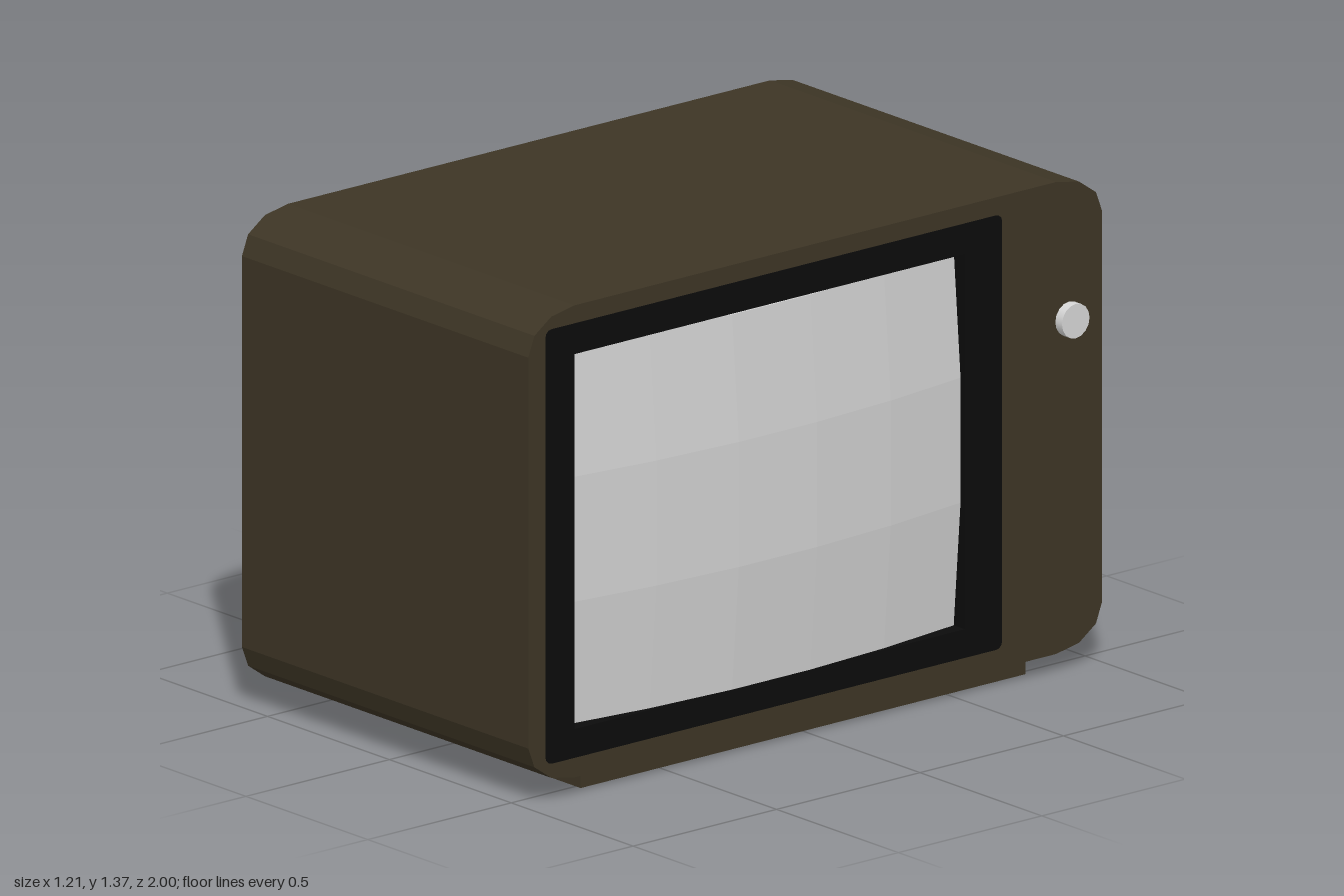
import * as THREE from 'three';

const material = (name, color) => Object.assign(new THREE.MeshStandardMaterial({ color }), { name });

// Rectangle in the z-y plane with faceted elliptical corners (shape x = -z)
function roundedOutline(z0, z1, y0, y1, rz, ry) {
  const pts = [];
  const corners = [[-z0 - rz, y1 - ry], [-z1 + rz, y1 - ry], [-z1 + rz, y0 + ry], [-z0 - rz, y0 + ry]];
  corners.forEach(([cx, cy], q) => {
    for (let i = 0; i <= 3; i++) {
      const a = (q + i / 3) * Math.PI / 2;
      pts.push(new THREE.Vector2(cx + rz * Math.cos(a), cy + ry * Math.sin(a)));
    }
  });
  return pts;
}

function rectOutline(z0, z1, y0, y1) {
  return [[-z0, y0], [-z0, y1], [-z1, y1], [-z1, y0]].map(([x, y]) => new THREE.Vector2(x, y));
}

// Extrude an outline along x from x0 to x1, with an optional opening
function slab(outline, hole, x0, x1) {
  const shape = new THREE.Shape(outline);
  if (hole) shape.holes.push(new THREE.Path(hole));
  const g = new THREE.ExtrudeGeometry(shape, { depth: x1 - x0, bevelEnabled: false });
  return g.rotateY(Math.PI / 2).translate(x0, 0, 0);
}

export function createModel() {
  const group = new THREE.Group();
  const casing = material('darkBrownCasing', 0x3d3525);
  const black = material('blackBezel', 0x0b0b0b);
  const glass = material('greyGlass', 0xd0d0d0);
  const silver = material('silverKnob', 0xd6d6d6);

  const add = (name, geometry, mat) => {
    const mesh = new THREE.Mesh(geometry, mat);
    mesh.name = name;
    group.add(mesh);
    return mesh;
  };

  // Cabinet, with a shallow recess on the screen side
  const cabinet = roundedOutline(-1, 1, 0.055, 1.37, 0.16, 0.113);
  const bezelEdge = roundedOutline(-0.65, 0.94, 0.11, 1.32, 0.02, 0.02);
  add('cabinet', slab(cabinet, null, -0.605, 0.51), casing);
  add('cabinetRim', slab(cabinet, bezelEdge, 0.51, 0.57), casing);

  // Black bezel around the screen opening
  add('bezel', slab(bezelEdge, rectOutline(-0.52, 0.84, 0.19, 1.235), 0.51, 0.572), black);

  // Bulging faceted screen
  let screen = new THREE.BoxGeometry(0.1, 1.045, 1.36, 1, 3, 5);
  const p = screen.attributes.position;
  for (let i = 0; i < p.count; i++) {
    const y = p.getY(i), z = p.getZ(i);
    p.setX(i, p.getX(i) > 0 ? 0.611 - 0.115 * (y * y + z * z) : 0.511);
  }
  screen = screen.toNonIndexed();
  screen.computeVertexNormals();
  add('screen', screen.translate(0, 0.7125, 0.16), glass);

  // Round knob
  const knob = new THREE.CylinderGeometry(0.048, 0.048, 0.035, 16).rotateZ(-Math.PI / 2);
  add('knob', knob.translate(0.58, 0.98, -0.885), silver);

  // Base plinth
  add('base', new THREE.BoxGeometry(1.075, 0.06, 1.55).translate(-0.0175, 0.03, 0), casing);

  return group;
}
